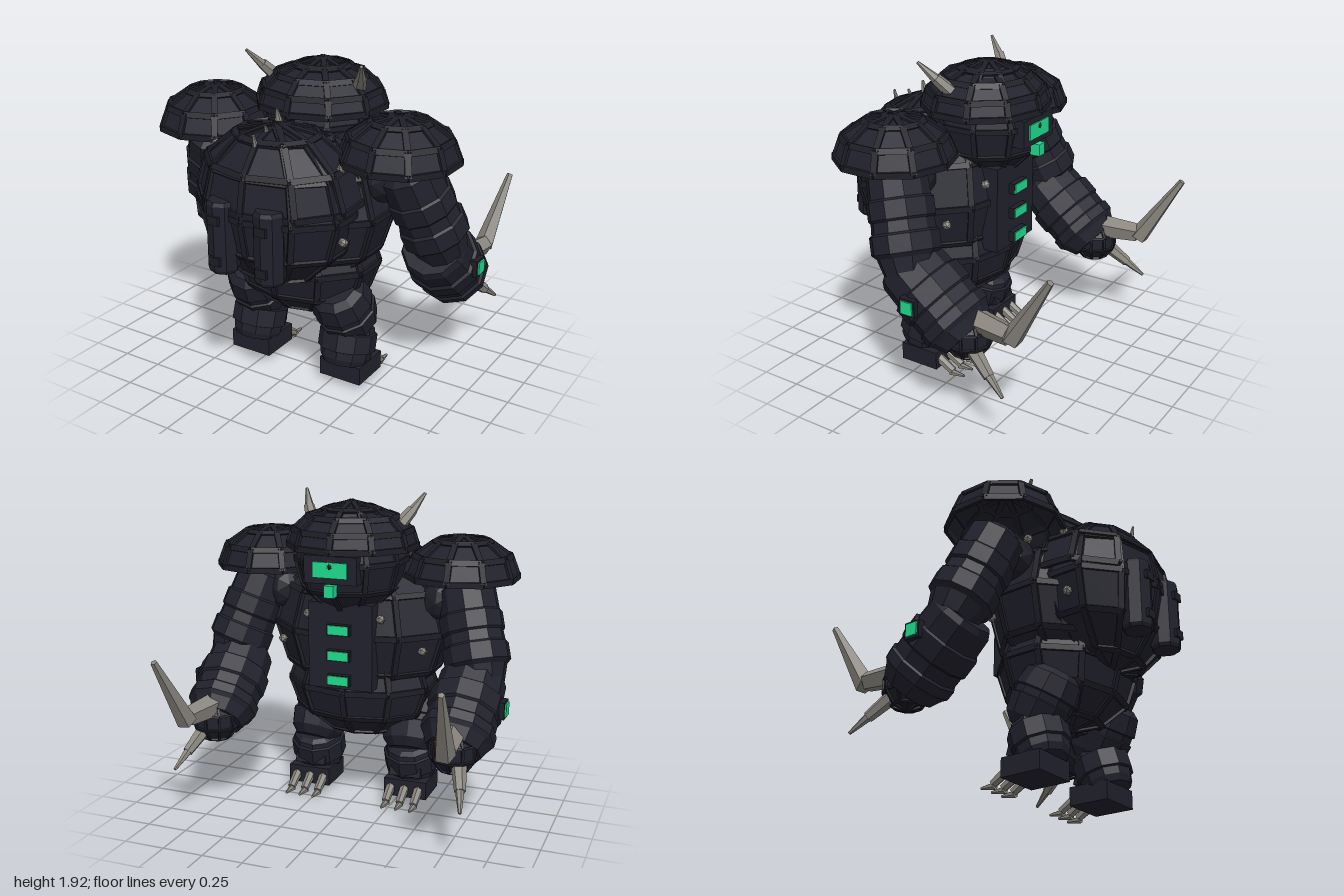
import * as THREE from 'three';
import { mergeGeometries } from 'three/addons/utils/BufferGeometryUtils.js';

const mat = (name, color, extra = {}) => {
  const m = new THREE.MeshStandardMaterial({ color, flatShading: true, ...extra });
  m.name = name;
  return m;
};
const V = (a) => new THREE.Vector3(...a);

export function createModel() {
  const armour = mat('dark armour', 0x21212d, { side: THREE.DoubleSide });
  const trim = mat('dark trim', 0x1e1e27);
  const horn = mat('horn grey', 0x8a867f);
  const glow = mat('green light', 0x20dd8e);
  const model = new THREE.Group();

  const add = (parent, name, geo, material, pos = [0, 0, 0]) => {
    const mesh = new THREE.Mesh(geo, material);
    mesh.name = name;
    mesh.position.set(...pos);
    parent.add(mesh);
    return mesh;
  };
  const box = (parent, name, size, pos, material) =>
    add(parent, name, new THREE.BoxGeometry(...size), material, pos);
  const group = (name, parent = model) => {
    const g = new THREE.Group();
    g.name = name;
    parent.add(g);
    return g;
  };

  // Faceted shell with raised ribs along its edges; end is the polar angle of the rim
  function shell(parent, name, pos, r, rings, end, ribWidth = 0.035) {
    const g = group(name, parent);
    g.position.set(...pos);
    const seg = 10;
    const plate = new THREE.SphereGeometry(1, seg, rings, Math.PI / 2, Math.PI * 2, 0, end);
    plate.scale(...r);
    add(g, name + 'Plates', plate, armour);
    const point = (i, j) => {
      const a = (i / seg) * Math.PI * 2, t = (j / rings) * end;
      return new THREE.Vector3(Math.sin(a) * Math.sin(t) * r[0], Math.cos(t) * r[1], Math.cos(a) * Math.sin(t) * r[2]);
    };
    const ribs = [];
    const rib = (a, b) => {
      const dir = b.clone().sub(a), len = dir.length();
      if (len < 0.01) return;
      dir.normalize();
      const mid = a.clone().add(b).multiplyScalar(0.5);
      const side = mid.clone().cross(dir).normalize();
      const up = dir.clone().cross(side);
      const m = new THREE.Matrix4().makeBasis(side, up, dir).setPosition(mid);
      ribs.push(new THREE.BoxGeometry(ribWidth, 0.02, len).applyMatrix4(m));
    };
    for (let i = 0; i < seg; i++)
      for (let j = 0; j < rings; j++) {
        rib(point(i, j), point(i, j + 1));
        rib(point(i, j + 1), point(i + 1, j + 1));
      }
    add(g, name + 'Ribs', mergeGeometries(ribs), trim);
    return g;
  }

  // Banded limb from a to b; profile holds [fraction along, radius]
  function limb(parent, name, a, b, profile, material = armour, sides = 10) {
    const dir = V(b).sub(V(a)), len = dir.length();
    const pts = [[profile[0][0], 0], ...profile, [profile.at(-1)[0], 0]]
      .map(([t, r]) => new THREE.Vector2(r, t * len));
    const mesh = add(parent, name, new THREE.LatheGeometry(pts, sides), material, a);
    mesh.quaternion.setFromUnitVectors(new THREE.Vector3(0, 1, 0), dir.normalize());
    return mesh;
  }
  const spike = (parent, name, a, b, r0, r1, sides = 6) =>
    limb(parent, name, a, b, [[0, r0], [1, r1]], horn, sides);
  const bolt = (parent, pos) => add(parent, 'bolt', new THREE.IcosahedronGeometry(0.029, 0), horn, pos);

  // Torso, belly, back hump and carapace
  const torso = group('torso');
  shell(torso, 'belly', [0, 0.75, 0.22], [0.47, 0.34, 0.36], 6, Math.PI);
  shell(torso, 'chest', [0, 1.1, 0.25], [0.57, 0.48, 0.41], 6, Math.PI);
  shell(torso, 'hump', [0, 1.15, 0.52], [0.49, 0.455, 0.33], 6, Math.PI);
  shell(torso, 'carapace', [0, 1.21, 0.47], [0.51, 0.405, 0.38], 3, Math.PI / 2).rotation.x = 0.06;
  [[1.61, 0.47, 0.08, 0.028], [1.58, 0.58, 0.04, 0.018], [1.54, 0.69, 0.06, 0.018]].forEach(([y, z, h, r]) =>
    spike(torso, 'spineSpike', [0, y - 0.02, z], [0, y + h, z + 0.02], r, 0.007));

  // Chest plate with three lights
  box(torso, 'chestPlate', [0.4, 0.52, 0.16], [0, 1.05, -0.09], armour);
  for (const y of [0.85, 1.0, 1.155]) {
    box(torso, 'chestLightFrame', [0.14, 0.065, 0.04], [0, y, -0.185], trim);
    box(torso, 'chestLight', [0.13, 0.055, 0.008], [0, y, -0.209], glow);
  }

  // Head with domed helmet and face lights
  const head = group('head');
  shell(head, 'skull', [0, 1.55, 0.02], [0.335, 0.335, 0.34], 6, Math.PI, 0.03);
  shell(head, 'helmet', [0, 1.63, 0.035], [0.39, 0.232, 0.365], 4, Math.PI / 2);
  box(head, 'visorFrame', [0.32, 0.16, 0.14], [0, 1.53, -0.25], armour);
  box(head, 'visorLight', [0.21, 0.09, 0.008], [0, 1.53, -0.324], glow);
  box(head, 'chinLight', [0.06, 0.07, 0.06], [0, 1.41, -0.315], glow);

  for (const s of [1, -1]) {
    const side = s > 0 ? 'left' : 'right';
    const P = (x, y, z) => [s * x, y, z];

    // Horn on the helmet
    spike(head, side + 'HornBase', P(0.27, 1.74, 0.08), P(0.33, 1.83, 0.155), 0.042, 0.032);
    spike(head, side + 'HornTip', P(0.325, 1.82, 0.15), P(0.38, 1.92, 0.24), 0.03, 0.009);

    // Canister on the back
    limb(torso, side + 'Canister', P(0.155, 0.82, 0.8), P(0.155, 1.24, 0.8),
      [[0, 0.077], [0.05, 0.088], [0.95, 0.088], [1, 0.077]], armour, 8);
    for (const y of [0.9, 1.14]) box(torso, 'canisterClip', [0.07, 0.05, 0.02], P(0.155, y, 0.884), trim);

    // Bolts
    [[0.455, 1.025, 0.54], [0.45, 1.02, 0.01], [0.23, 1.22, -0.11], [0.48, 1.43, 0.29], [0.48, 1.43, 0.07], [0.42, 1.43, 0.5]]
      .forEach((p) => bolt(torso, P(...p)));

    // Arm
    const arm = group(side + 'Arm');
    shell(arm, 'shoulderPad', P(0.62, 1.45, 0.23), [0.335, 0.235, 0.34], 3, Math.PI / 2);
    add(arm, 'shoulderJoint', new THREE.IcosahedronGeometry(0.14, 1), trim, P(0.51, 1.3, 0.2));
    limb(arm, 'upperArm', P(0.645, 1.42, 0.215), P(0.81, 0.86, 0.01),
      [[0, 0.1], [0.09, 0.172], [0.32, 0.176], [0.34, 0.19], [0.5, 0.19], [0.52, 0.178],
        [0.62, 0.182], [0.64, 0.197], [0.8, 0.197], [0.84, 0.17], [1, 0.14]]);
    limb(arm, 'forearm', P(0.757, 0.9, 0.07), P(0.745, 0.52, -0.38),
      [[0, 0.175], [0.06, 0.195], [0.27, 0.2], [0.29, 0.218], [0.48, 0.218], [0.5, 0.205],
        [0.62, 0.203], [0.64, 0.217], [0.74, 0.215], [0.78, 0.195], [0.9, 0.16]]);
    shell(arm, 'hand', P(0.75, 0.57, -0.33), [0.14, 0.14, 0.14], 5, Math.PI, 0.015);
    box(arm, 'forearmLightFrame', [0.06, 0.1, 0.1], P(0.957, 0.76, -0.1), trim);
    box(arm, 'forearmLight', [0.009, 0.075, 0.075], P(0.9915, 0.76, -0.1), glow);
    spike(arm, 'clawBase', P(0.75, 0.665, -0.4), P(0.785, 0.66, -0.62), 0.075, 0.06, 5);
    spike(arm, 'clawTip', P(0.78, 0.64, -0.63), P(0.825, 1.055, -0.88), 0.062, 0.02, 5);
    spike(arm, 'thumbClawBase', P(0.8, 0.51, -0.4), P(0.845, 0.405, -0.53), 0.045, 0.032);
    spike(arm, 'thumbClawTip', P(0.84, 0.415, -0.52), P(0.875, 0.325, -0.635), 0.027, 0.01);

    // Leg
    const leg = group(side + 'Leg');
    limb(leg, 'thigh', P(0.295, 0.64, 0.36), P(0.315, 0.33, 0.18),
      [[0, 0.12], [0.1, 0.165], [0.4, 0.185], [0.42, 0.172], [0.53, 0.172], [0.55, 0.185], [0.85, 0.168], [1, 0.12]]);
    limb(leg, 'shin', P(0.315, 0.37, 0.22), P(0.32, 0.13, 0.29),
      [[0, 0.12], [0.08, 0.15], [0.2, 0.157], [0.22, 0.172], [0.65, 0.172], [0.67, 0.155], [0.85, 0.15], [1, 0.13]]);
    box(leg, 'kneeGuard', [0.2, 0.06, 0.04], P(0.32, 0.2, 0.13), trim).rotation.x = 0.3;
    box(leg, 'foot', [0.275, 0.112, 0.255], P(0.324, 0.096, 0.228), armour);
    for (const x of [0.23, 0.32, 0.41]) {
      spike(leg, 'toeClawBase', P(x, 0.1, 0.12), P(x, 0.035, 0.01), 0.03, 0.025);
      spike(leg, 'toeClawTip', P(x, 0.024, 0.025), P(x, 0.025, -0.07), 0.023, 0.008);
    }
  }
  return model;
}
